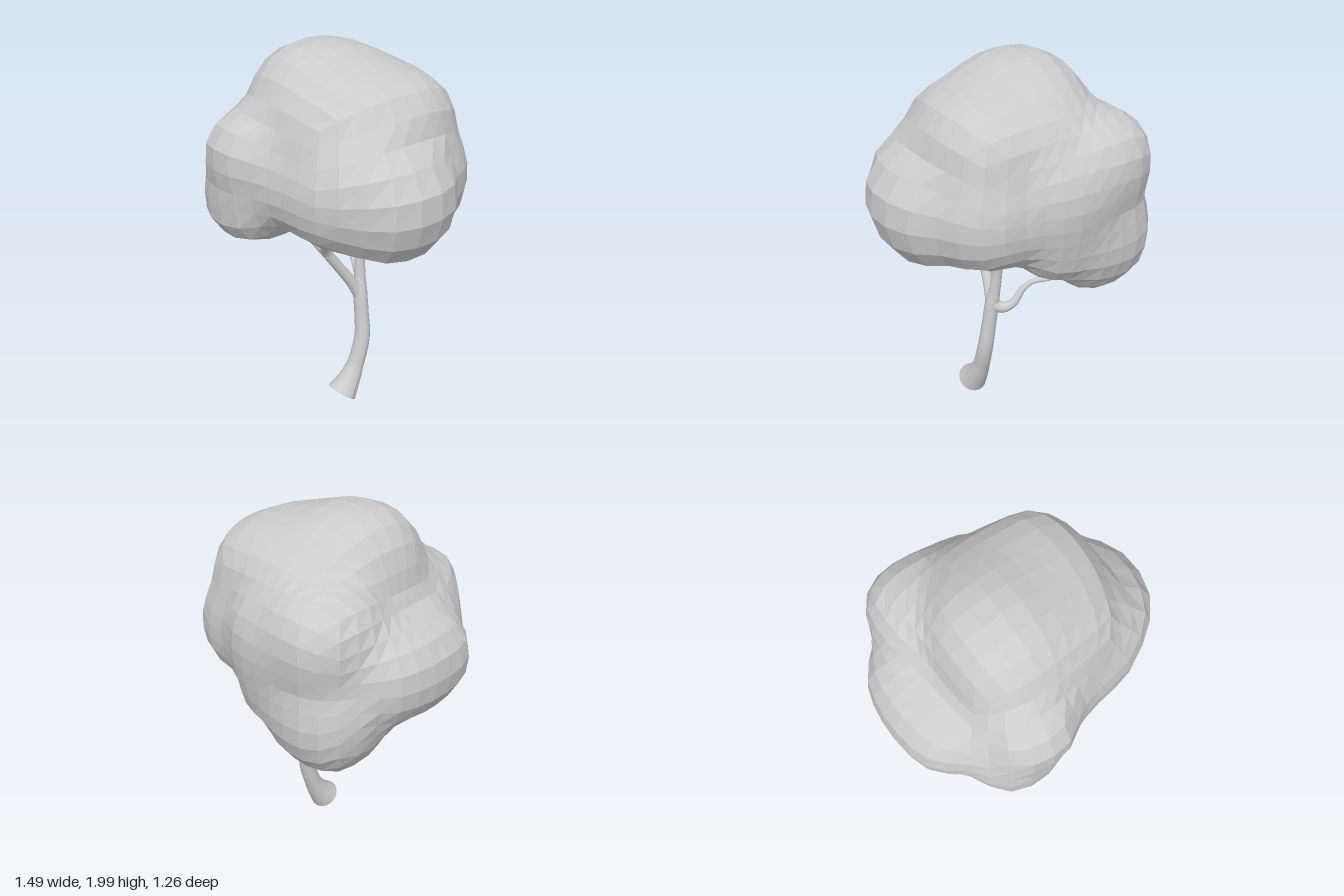
import * as THREE from 'three';

const V = (x, y, z) => new THREE.Vector3(x, y, z);
// Double-sided, as the foot of the trunk is open
const barkMaterial = new THREE.MeshStandardMaterial({ color: 0xcccccc, side: THREE.DoubleSide });
const leafMaterial = new THREE.MeshStandardMaterial({ color: 0xcccccc, flatShading: true });

// Tapered limb: a smooth tube through rows of [x, y, z, radius]
function limb(name, rows, steps = 20, sides = 14) {
  const curve = new THREE.CatmullRomCurve3(rows.map(r => V(r[0], r[1], r[2])));
  const geo = new THREE.TubeGeometry(curve, steps, 1, sides, false);
  const pos = geo.attributes.position;
  for (let i = 0; i <= steps; i++) {
    const c = curve.getPointAt(i / steps);
    // the radius follows the same parameter as the centre line
    const f = curve.getUtoTmapping(i / steps) * (rows.length - 1);
    const k = Math.min(Math.floor(f), rows.length - 2);
    const radius = THREE.MathUtils.lerp(rows[k][3], rows[k + 1][3], f - k);
    for (let j = 0; j <= sides; j++) {
      const n = i * (sides + 1) + j;
      const p = V().fromBufferAttribute(pos, n).sub(c).setLength(radius).add(c);
      pos.setXYZ(n, p.x, p.y, p.z);
    }
  }
  geo.computeVertexNormals();
  const mesh = new THREE.Mesh(geo, barkMaterial);
  mesh.name = name;
  return mesh;
}

// Leaf masses: centre and radii of each lobe
const lobes = [
  [0, 1.52, 0, 0.42, 0.4, 0.42],            // core
  [-0.11, 1.63, 0.04, 0.3, 0.355, 0.35],    // crown
  [0, 1.58, -0.18, 0.28, 0.28, 0.3],        // crown back
  [0.27, 1.6, -0.06, 0.24, 0.26, 0.28],     // left shoulder
  [0.26, 1.6, -0.2, 0.23, 0.25, 0.25],      // left shoulder back
  [0.21, 1.58, 0.12, 0.23, 0.25, 0.25],     // left shoulder front
  [0.42, 1.34, 0.03, 0.325, 0.26, 0.31],    // left side
  [0.4, 1.43, 0.16, 0.21, 0.2, 0.22],       // left side front
  [0.45, 1.2, 0.02, 0.21, 0.19, 0.24],      // left underside
  [0.24, 1.32, 0.17, 0.29, 0.26, 0.3],      // left front
  [0.26, 1.32, -0.25, 0.3, 0.27, 0.27],     // left back
  [-0.43, 1.29, 0.09, 0.31, 0.25, 0.29],    // right side
  [-0.43, 1.3, -0.12, 0.3, 0.26, 0.27],     // right back
  [-0.25, 1.24, 0.33, 0.26, 0.26, 0.25],    // right front
  [-0.26, 1.13, 0.4, 0.2, 0.15, 0.19],      // right front underside
  [-0.32, 1.23, 0.15, 0.25, 0.25, 0.22],    // right underside
  [-0.2, 1.46, 0.37, 0.22, 0.21, 0.26],     // front bulge
  [0, 1.36, 0.24, 0.22, 0.24, 0.26],        // front middle
  [-0.31, 1.1, -0.33, 0.28, 0.29, 0.28],    // low back
  [-0.31, 0.95, -0.28, 0.17, 0.2, 0.2],     // lowest tip
  [-0.04, 1.15, -0.36, 0.2, 0.22, 0.22],    // low middle back
  [-0.3, 1.5, -0.34, 0.26, 0.26, 0.28],     // high back
  [-0.05, 1.4, -0.3, 0.27, 0.28, 0.32],     // middle back
];

// Smooth union of slightly boxy lobes, negative inside
function field(p) {
  const k = 28, n = 2.4;
  let sum = 0;
  for (const [x, y, z, a, b, c] of lobes) {
    const q = Math.abs((p.x - x) / a) ** n + Math.abs((p.y - y) / b) ** n + Math.abs((p.z - z) / c) ** n;
    sum += Math.exp(-k * (q ** (1 / n) - 1) * Math.min(a, b, c));
  }
  return -Math.log(sum) / k;
}

// Canopy: a quad sphere shrunk onto the lobes
function canopy() {
  const geo = new THREE.BoxGeometry(2, 2, 2, 10, 10, 10);
  const pos = geo.attributes.position;
  const centre = V(-0.1, 1.3, -0.05);
  const warp = v => Math.tan(v * Math.PI / 4);
  const reach = dir => {
    let t = 1;
    while (t > 0.1 && field(centre.clone().addScaledVector(dir, t)) > 0) t -= 0.006;
    return t;
  };
  // neighbouring directions are averaged to soften the creases
  const b = 0.08;
  const offsets = [V(0, 0, 0), V(b, 0, 0), V(-b, 0, 0), V(0, b, 0), V(0, -b, 0), V(0, 0, b), V(0, 0, -b)];
  for (let i = 0; i < pos.count; i++) {
    const d = V(warp(pos.getX(i)), warp(pos.getY(i)), warp(pos.getZ(i))).normalize();
    let r = 0;
    for (const o of offsets) r += reach(d.clone().add(o).normalize()) / offsets.length;
    const p = centre.clone().addScaledVector(d, r);
    pos.setXYZ(i, p.x, p.y, p.z);
  }
  geo.computeVertexNormals();
  const mesh = new THREE.Mesh(geo, leafMaterial);
  mesh.name = 'canopy';
  return mesh;
}

export function createModel() {
  const tree = new THREE.Group();
  tree.name = 'tree';

  // Trunk with a flared, slanted foot, running on into the rear branch
  tree.add(limb('trunk', [
    [0.16, 0.05, 0.105, 0.082], [0.16, 0.11, 0.06, 0.064], [0.16, 0.2, 0.012, 0.047],
    [0.16, 0.36, -0.034, 0.043], [0.142, 0.5, -0.043, 0.039], [0.125, 0.62, -0.046, 0.039],
    [0.11, 0.72, -0.055, 0.03], [0.1, 0.88, -0.07, 0.027], [0.13, 0.97, -0.12, 0.025],
    [0.16, 1.06, -0.21, 0.022], [0.17, 1.18, -0.25, 0.02],
  ], 48, 20));

  // Forward branch and its three forks
  tree.add(limb('frontBranch', [
    [0.125, 0.6, -0.04, 0.03], [0.108, 0.69, 0.0, 0.03], [0.09, 0.81, 0.08, 0.027],
    [0.085, 0.92, 0.155, 0.027], [0.14, 0.99, 0.2, 0.02], [0.21, 1.07, 0.25, 0.018],
    [0.24, 1.14, 0.27, 0.016],
  ], 30));
  tree.add(limb('innerFork', [
    [0.085, 0.9, 0.15, 0.024], [0.05, 0.97, 0.11, 0.021],
    [0.01, 1.05, 0.03, 0.018], [-0.02, 1.18, -0.03, 0.016],
  ], 16));
  tree.add(limb('outerFork', [
    [0.085, 0.89, 0.14, 0.024], [0.06, 0.96, 0.19, 0.02],
    [0.01, 1.06, 0.25, 0.018], [-0.03, 1.16, 0.28, 0.016],
  ], 16));

  // Thin side branch reaching the low rear leaves
  tree.add(limb('sideBranch', [
    [0.13, 0.63, -0.045, 0.036], [0.08, 0.605, -0.085, 0.03], [0.03, 0.635, -0.115, 0.023],
    [-0.02, 0.705, -0.125, 0.018], [-0.07, 0.742, -0.14, 0.014], [-0.17, 0.765, -0.195, 0.013],
    [-0.2, 0.8, -0.21, 0.013], [-0.21, 0.88, -0.22, 0.012],
  ], 32, 12));

  tree.add(canopy());
  return tree;
}
